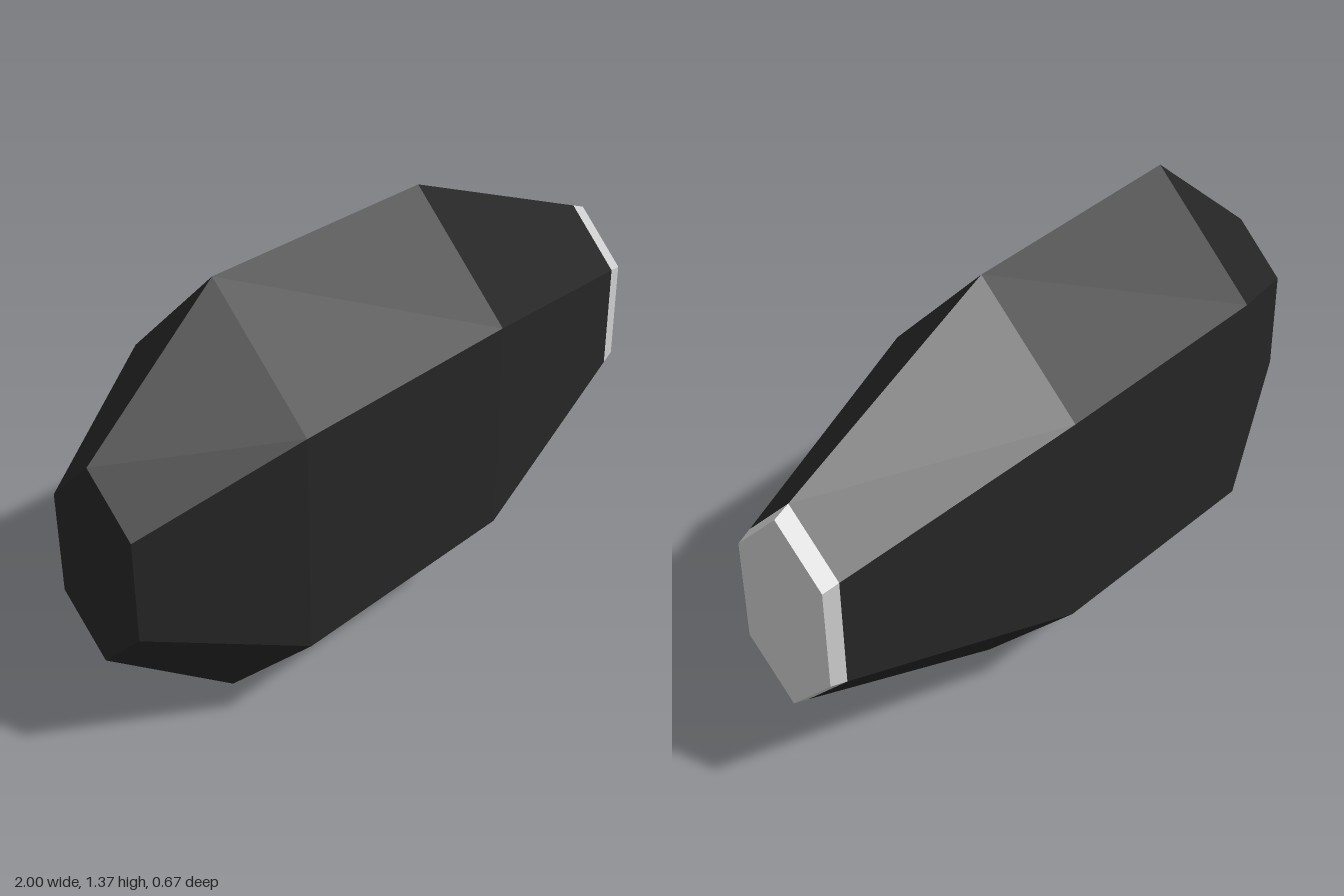
import * as THREE from 'three';

const CENTER_Y = 0.6825;

// Elongated hexagon section at x; r is the half height
function section([x, r]) {
  const w = r * 0.49, s = r * 0.5;
  return [[r, 0], [s, w], [-s, w], [-r, 0], [-s, -w], [s, -w]]
    .map(([y, z]) => [x, CENTER_Y + y, z]);
}

// Flat-faced loft through sections running from -x to +x
function loft(stations, closeStart, closeEnd) {
  const rings = stations.map(section);
  const pos = [];
  const tri = (...pts) => pts.forEach((p) => pos.push(...p));
  for (let i = 0; i < rings.length - 1; i++) {
    for (let j = 0; j < 6; j++) {
      const k = (j + 1) % 6;
      const a = rings[i][j], b = rings[i][k], c = rings[i + 1][j], d = rings[i + 1][k];
      tri(a, b, d);
      tri(a, d, c);
    }
  }
  const first = rings[0], last = rings[rings.length - 1];
  for (let j = 1; j < 5; j++) {
    if (closeStart) tri(first[0], first[j + 1], first[j]);
    if (closeEnd) tri(last[0], last[j], last[j + 1]);
  }
  const geometry = new THREE.BufferGeometry();
  geometry.setAttribute('position', new THREE.Float32BufferAttribute(pos, 3));
  geometry.computeVertexNormals();
  return geometry;
}

export function createModel() {
  const group = new THREE.Group();
  group.name = 'facetedCapsule';

  const black = new THREE.MeshStandardMaterial({ color: 0x252525 });
  black.name = 'black';
  const lightGrey = new THREE.MeshStandardMaterial({ color: 0xcccccc });
  lightGrey.name = 'light grey';

  // Dark body, swelling in the middle
  const body = new THREE.Mesh(
    loft([[-1, 0.315], [-0.555, 0.6825], [0.22, 0.667], [0.95, 0.337]], true, false), black);
  body.name = 'body';

  // Pale tip at the narrow end
  const tip = new THREE.Mesh(loft([[0.95, 0.337], [1, 0.315]], false, true), lightGrey);
  tip.name = 'tip';

  group.add(body, tip);
  return group;
}
